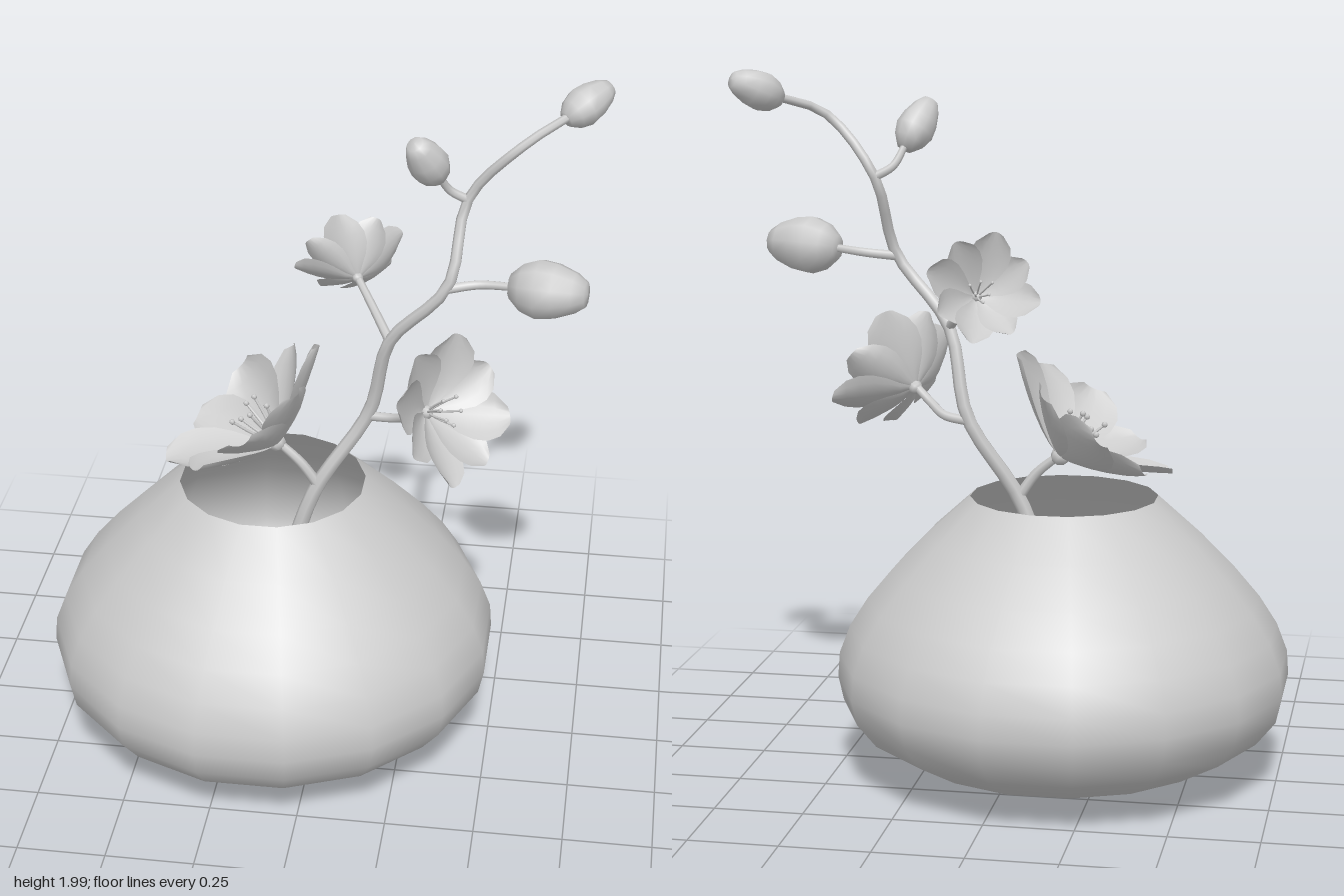
import * as THREE from 'three';

const V = (x, y, z) => new THREE.Vector3(x, y, z);
const UP = V(0, 1, 0);
const material = new THREE.MeshStandardMaterial({ color: 0xcccccc, side: THREE.DoubleSide });

function mesh(name, geometry) {
  const m = new THREE.Mesh(geometry, material);
  m.name = name;
  return m;
}

// Tapered tube through a few points
function stem(name, points, r0, r1) {
  const curve = new THREE.CatmullRomCurve3(points.map(p => V(...p)), false, 'centripetal');
  const rings = points.length * 4, sides = 7;
  const geo = new THREE.TubeGeometry(curve, rings, 1, sides, false);
  const pos = geo.attributes.position, v = V(0, 0, 0);
  for (let i = 0; i <= rings; i++) {
    const centre = curve.getPointAt(i / rings);
    const r = THREE.MathUtils.lerp(r0, r1, i / rings);
    for (let j = 0; j <= sides; j++) {
      const k = i * (sides + 1) + j;
      v.fromBufferAttribute(pos, k).sub(centre).multiplyScalar(r).add(centre);
      pos.setXYZ(k, v.x, v.y, v.z);
    }
  }
  return mesh(name, geo);
}

// Closed bud from a base point to a tip point
function bud(name, from, to, radius) {
  const a = V(...from), d = V(...to).sub(a), len = d.length();
  const profile = [[0, 0], [0.42, 0.01], [0.8, 0.17], [1, 0.38], [0.92, 0.6], [0.68, 0.84], [0.42, 0.98], [0, 1]]
    .map(([r, h]) => new THREE.Vector2(r * radius, h * len));
  const m = mesh(name, new THREE.LatheGeometry(profile, 10));
  m.position.copy(a);
  m.quaternion.setFromUnitVectors(UP, d.normalize());
  return m;
}

// Spoon-shaped petal pointing along +x and rising along +y
function petalGeometry(R, depth) {
  const widths = [0.12, 0.4, 0.75, 0.97, 1, 0.82, 0.35];
  const rows = widths.length - 1, cols = 6;
  const geo = new THREE.PlaneGeometry(1, 1, cols, rows);
  const pos = geo.attributes.position;
  for (let i = 0; i <= rows; i++) {
    const u = i / rows;
    for (let j = 0; j <= cols; j++) {
      const v = (j / cols) * 2 - 1;
      const w = widths[i] * R * 0.35;
      const r = R * (0.04 + 0.96 * u) - 0.06 * R * v * v * u;
      const h = depth * Math.pow(u, 1.25) + 0.3 * w * v * v + 0.22 * w * v;
      pos.setXYZ(i * (cols + 1) + j, r, h, v * w);
    }
  }
  geo.computeVertexNormals();
  return geo;
}

// Eight overlapping petals with stamens, opening along the given axis
function flower(name, base, axis, R, depth, turn) {
  const g = new THREE.Group();
  g.name = name;
  const petal = petalGeometry(R, depth);
  for (let i = 0; i < 8; i++) {
    const p = mesh('petal', petal);
    p.rotation.y = turn + (i * Math.PI) / 4;
    p.scale.setScalar(i % 2 ? 0.94 : 1.03);
    g.add(p);
  }
  // Stamens with small tips
  for (let i = 0; i < 6; i++) {
    const a = turn + (i * Math.PI) / 3, s = R * (i % 2 ? 0.15 : 0.22);
    const x = Math.cos(a) * s, z = Math.sin(a) * s, h = R * (0.42 + 0.05 * (i % 3));
    g.add(stem('stamen', [[0, 0, 0], [x * 0.6, h * 0.5, z * 0.6], [x, h, z]], R * 0.018, R * 0.014));
    const tip = mesh('stamenTip', new THREE.SphereGeometry(R * 0.032, 6, 4));
    tip.position.set(x, h, z);
    g.add(tip);
  }
  // Small cup joining petals to the stalk
  const cup = mesh('flowerBase', new THREE.SphereGeometry(R * 0.1, 8, 6));
  g.add(cup);
  g.position.set(...base);
  g.quaternion.setFromUnitVectors(UP, V(...axis).normalize());
  return g;
}

export function createModel() {
  const model = new THREE.Group();
  model.name = 'vaseWithBranch';

  // Squat sixteen-sided vase, open at the top
  const profile = [[0, 0.005], [0.165, 0.005], [0.3, 0.03], [0.43, 0.07], [0.56, 0.145], [0.615, 0.215],
    [0.63, 0.285], [0.625, 0.355], [0.595, 0.435], [0.545, 0.515], [0.475, 0.6], [0.38, 0.7], [0.26, 0.81]]
    .map(([r, y]) => new THREE.Vector2(r / Math.cos(Math.PI / 16), y));
  const vase = mesh('vase', new THREE.LatheGeometry(profile, 16, Math.PI / 16));
  vase.position.x = -0.14;
  model.add(vase);

  // Main stem and its side stalks
  model.add(
    stem('mainStem', [[-0.12, 0.45, 0], [-0.02, 0.78, 0], [0.13, 1.03, -0.03], [0.19, 1.28, 0.01],
      [0.35, 1.48, 0.05], [0.39, 1.7, -0.03], [0.53, 1.87, -0.01], [0.65, 1.925, -0.11]], 0.024, 0.012),
    stem('lowFlowerStalk', [[-0.01, 0.8, 0], [-0.06, 0.87, 0], [-0.13, 0.93, -0.01]], 0.016, 0.012),
    stem('sideFlowerStalk', [[0.13, 1.02, -0.03], [0.2, 1.03, -0.01], [0.25, 1.06, 0.03], [0.3, 1.1, 0.06]], 0.014, 0.012),
    stem('backFlowerStalk', [[0.19, 1.28, 0.01], [0.13, 1.34, -0.08], [0.08, 1.39, -0.15]], 0.014, 0.011),
    stem('sideBudStalk', [[0.34, 1.47, 0.05], [0.43, 1.48, 0.03], [0.53, 1.49, 0.05]], 0.014, 0.011),
    stem('upperBudStalk', [[0.39, 1.7, -0.03], [0.34, 1.73, -0.02], [0.31, 1.79, 0.01]], 0.013, 0.01),
  );

  // Buds
  model.add(
    bud('sideBud', [0.515, 1.49, 0.045], [0.725, 1.5, 0.09], 0.083),
    bud('upperBud', [0.315, 1.775, 0.01], [0.255, 1.905, 0.09], 0.055),
    bud('tipBud', [0.635, 1.915, -0.1], [0.745, 1.975, -0.2], 0.055),
  );

  // Open flowers
  model.add(
    flower('lowFlower', [-0.13, 0.925, -0.01], [-0.62, 0.78, 0.04], 0.27, 0.15, 0.2),
    flower('sideFlower', [0.3, 1.095, 0.06], [0.72, 0.4, 0.55], 0.205, 0.11, 0.5),
    flower('backFlower', [0.08, 1.39, -0.15], [-0.36, 0.38, -0.85], 0.155, 0.1, 0.1),
  );

  return model;
}
